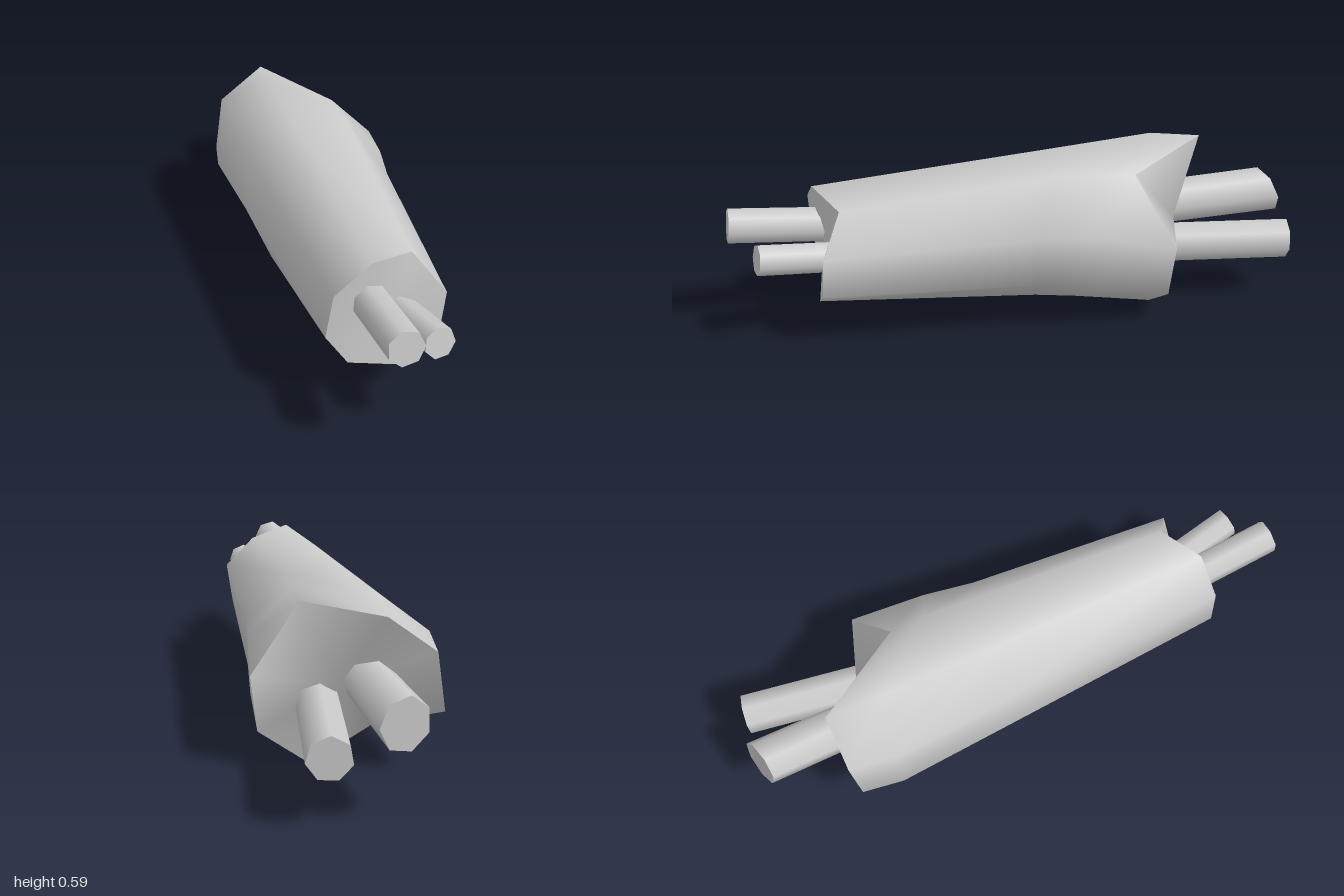
import * as THREE from 'three';

// Eight-sided cross-sections of the body, front to back (clockwise seen from +z)
const RINGS = [
  [[0.01, 0.445, 0.735], [0.13, 0.54, 0.70], [0.265, 0.51, 0.595], [0.375, 0.385, 0.645],
    [0.355, 0.23, 0.66], [0.23, 0.137, 0.69], [0.06, 0.16, 0.70], [-0.015, 0.29, 0.735]],
  [[-0.227, 0.452, -0.1], [-0.063, 0.573, -0.1], [0.13, 0.56, -0.14], [0.265, 0.39, -0.1],
    [0.265, 0.21, -0.1], [0.09, 0.06, -0.075], [-0.17, 0.06, -0.08], [-0.257, 0.256, -0.1]],
  [[-0.337, 0.455, -0.48], [-0.16, 0.59, -0.5], [0.105, 0.553, -0.3], [0.257, 0.385, -0.285],
    [0.25, 0.175, -0.3], [0.05, 0.027, -0.225], [-0.17, 0.06, -0.19], [-0.367, 0.24, -0.48]],
  [[-0.347, 0.44, -0.65], [-0.187, 0.565, -0.685], [0.08, 0.54, -0.42], [0.24, 0.33, -0.555],
    [0.22, 0.135, -0.54], [0.05, 0.003, -0.5], [-0.17, 0.06, -0.3], [-0.377, 0.235, -0.63]],
];
const N = 8;

const material = new THREE.MeshStandardMaterial({ color: 0xcccccc });

function makeMesh(name, points, index) {
  const geometry = new THREE.BufferGeometry();
  geometry.setAttribute('position', new THREE.Float32BufferAttribute(points.flat(), 3));
  geometry.setIndex(index);
  geometry.computeVertexNormals();
  const mesh = new THREE.Mesh(geometry, material);
  mesh.name = name;
  return mesh;
}

// Smooth skin running through all the cross-sections
function bodySkin() {
  const index = [];
  for (let r = 0; r < RINGS.length - 1; r++) {
    for (let i = 0; i < N; i++) {
      const j = (i + 1) % N;
      const a = r * N + i, b = r * N + j, c = a + N, d = b + N;
      index.push(a, b, c, b, d, c);
    }
  }
  return makeMesh('bodySkin', RINGS.flat(), index);
}

// Ragged end face: a fan from a centre point to an end ring
function endFace(name, ring, centre, facesFront) {
  const index = [];
  for (let i = 0; i < N; i++) {
    const j = (i + 1) % N;
    index.push(N, ...(facesFront ? [j, i] : [i, j]));
  }
  return makeMesh(name, [...ring, centre], index);
}

// Seven-sided rod from inside the body to its tip; skew slants the tip face
function rod(name, base, tip, radius, skew = [0, 0]) {
  const a = new THREE.Vector3(...base), b = new THREE.Vector3(...tip);
  const axis = b.clone().sub(a);
  const geometry = new THREE.CylinderGeometry(radius, radius, axis.length(), 7);
  const turn = new THREE.Quaternion().setFromUnitVectors(
    new THREE.Vector3(0, 1, 0), axis.clone().normalize());
  geometry.applyQuaternion(turn);
  const mid = a.clone().add(b).multiplyScalar(0.5);
  geometry.translate(mid.x, mid.y, mid.z);
  const p = geometry.attributes.position;
  for (let i = 0; i < p.count; i++) {
    if (Math.abs(p.getZ(i) - b.z) < 0.15) {
      p.setZ(i, p.getZ(i) + skew[0] * (p.getX(i) - b.x) + skew[1] * (p.getY(i) - b.y));
    }
  }
  const mesh = new THREE.Mesh(geometry, material);
  mesh.name = name;
  return mesh;
}

export function createModel() {
  const model = new THREE.Group();
  model.name = 'limbSegment';

  const body = new THREE.Group();
  body.name = 'body';
  body.add(
    bodySkin(),
    endFace('frontEndFace', RINGS[0], [0.19, 0.33, 0.655], true),
    endFace('backEndFace', RINGS[3], [-0.04, 0.31, -0.585], false),
  );

  // Two thin rods at the front, two thicker ones at the back
  const rods = new THREE.Group();
  rods.name = 'rods';
  rods.add(
    rod('frontUpperRod', [0.105, 0.38, 0.6], [0.205, 0.432, 0.985], 0.061),
    rod('frontLowerRod', [0.212, 0.31, 0.6], [0.322, 0.363, 0.875], 0.054),
    rod('backUpperRod', [-0.12, 0.325, -0.52], [-0.222, 0.325, -0.957], 0.081, [-0.25, 0.25]),
    rod('backLowerRod', [0.028, 0.242, -0.48], [-0.002, 0.235, -0.995], 0.073),
  );

  model.add(body, rods);
  return model;
}
